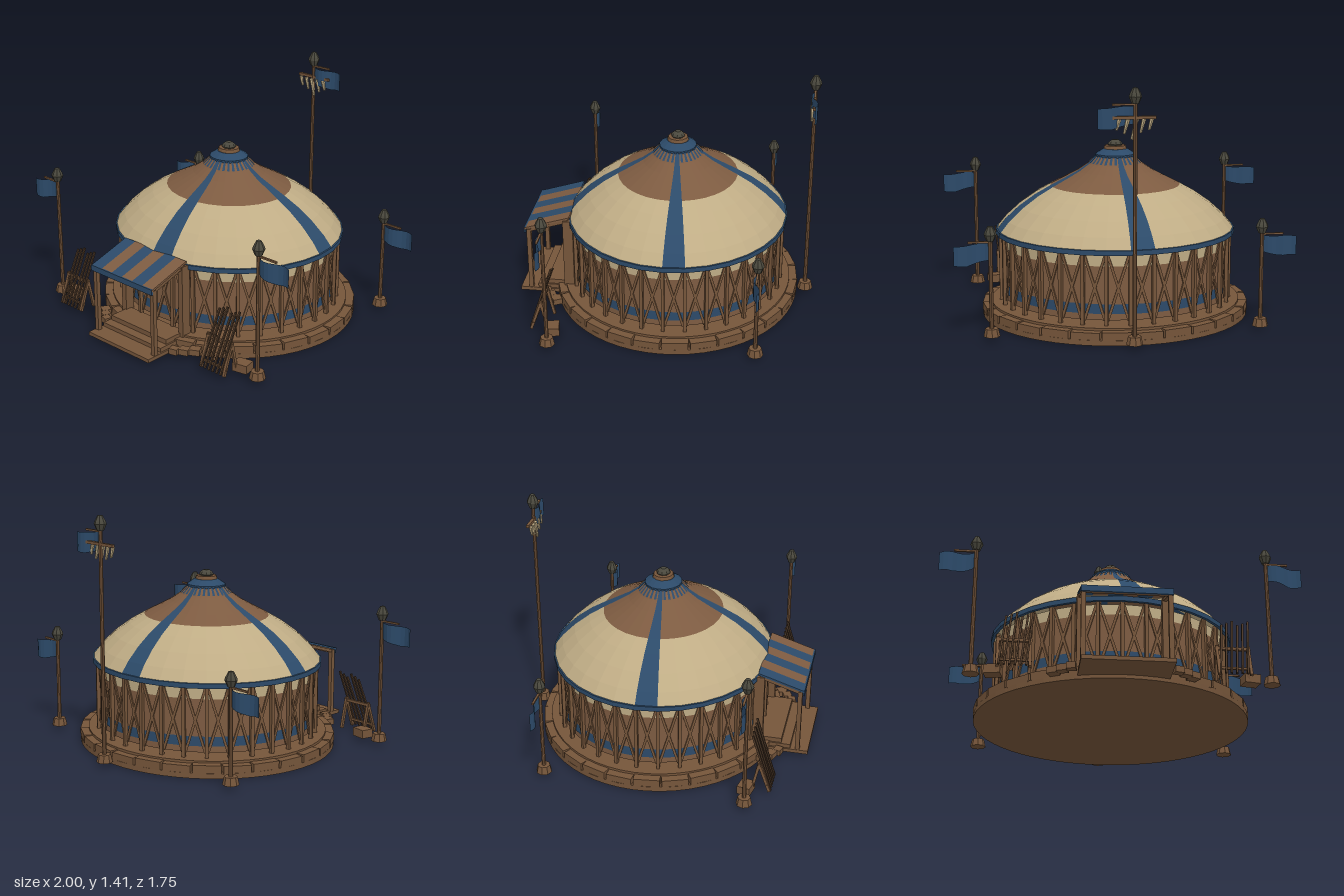
import * as THREE from 'three';

const mat = (name, color, side = THREE.FrontSide) => {
  const m = new THREE.MeshStandardMaterial({ color, side, flatShading: true });
  m.name = name;
  return m;
};

export function createModel() {
  const wood = mat('wood', 0x75553a);
  const darkWood = mat('dark wood', 0x4a3626);
  const hide = mat('brown hide', 0x7d5b41, THREE.DoubleSide);
  const cream = mat('cream felt', 0xbfac85, THREE.DoubleSide);
  const blue = mat('blue cloth', 0x2c4a69, THREE.DoubleSide);
  const iron = mat('dark iron', 0x4a483d);

  const model = new THREE.Group();
  const add = (parent, name, geo, material, x = 0, y = 0, z = 0) => {
    const m = new THREE.Mesh(geo, material);
    m.name = name;
    m.position.set(x, y, z);
    parent.add(m);
    return m;
  };
  const group = (parent, name, x = 0, y = 0, z = 0) => {
    const g = new THREE.Group();
    g.name = name;
    g.position.set(x, y, z);
    parent.add(g);
    return g;
  };
  const box = (parent, name, w, h, d, m, x, y, z) => add(parent, name, new THREE.BoxGeometry(w, h, d), m, x, y, z);
  const lathe = (pts, segs = 32, start = 0, len = Math.PI * 2) =>
    new THREE.LatheGeometry(pts.map(p => new THREE.Vector2(p[0], p[1])), segs, start, len);
  // Square bar running from a to b
  const bar = (parent, name, a, b, w, d, m) => {
    const p = new THREE.Vector3(...a), q = new THREE.Vector3(...b);
    const mesh = box(parent, name, w, p.distanceTo(q), d, m, 0, 0, 0);
    mesh.position.copy(p).lerp(q, 0.5);
    mesh.quaternion.setFromUnitVectors(new THREE.Vector3(0, 1, 0), q.sub(p).normalize());
    return mesh;
  };

  const N = 32, STEP = Math.PI * 2 / N;

  // Slightly oval tent, standing a little behind the origin
  const tent = group(model, 'tent', 0, 0, -0.05);
  tent.scale.z = 0.93;

  // Platform: base, floor and a rim of blocks
  add(tent, 'base', new THREE.CylinderGeometry(0.785, 0.785, 0.03, 56), wood, 0, 0.015, 0);
  add(tent, 'floor', new THREE.CylinderGeometry(0.735, 0.735, 0.06, 56), wood, 0, 0.055, 0);
  for (let i = 0; i < 28; i++) {
    const holder = group(tent, 'rimBlock');
    holder.rotation.y = (i + 0.5) * Math.PI * 2 / 28;
    box(holder, 'block', 0.162, 0.045, 0.06, wood, 0, 0.048 + (i % 2) * 0.004, 0.752);
  }

  // Wall with a cream band above and a blue band below
  add(tent, 'wall', lathe([[0.66, 0.11], [0.66, 0.475]]), hide);
  add(tent, 'wallTopBand', lathe([[0.664, 0.415], [0.664, 0.477]]), cream);
  add(tent, 'wallLowBand', lathe([[0.664, 0.146], [0.664, 0.202]]), blue);

  // Posts and crossed lattice around the wall
  for (let i = 0; i < N; i++) {
    const post = group(tent, 'wallPost');
    post.rotation.y = i * STEP;
    box(post, 'post', 0.02, 0.41, 0.022, wood, 0, 0.285, 0.675);
    const bay = group(tent, 'latticeBay');
    bay.rotation.y = (i + 0.5) * STEP;
    for (const s of [-1, 1]) {
      bar(bay, 'lattice', [-s * 0.058, 0.11, 0.665], [s * 0.058, 0.478, 0.665], 0.015, 0.008, wood);
    }
  }

  // Roof: cream skirt, brown upper part, and four blue stripes
  const skirt = [[0.7, 0.505], [0.645, 0.572], [0.565, 0.645], [0.47, 0.712], [0.38, 0.762]];
  const upper = [[0.38, 0.762], [0.29, 0.808], [0.22, 0.845], [0.16, 0.886], [0.115, 0.93]];
  for (let q = 0; q < 4; q++) {
    const start = q * Math.PI / 2;
    add(tent, 'roofStripe', lathe([...skirt, ...upper.slice(1)], 1, start, STEP), blue);
    add(tent, 'roofSkirt', lathe(skirt, 7, start + STEP, STEP * 7), cream);
    add(tent, 'roofTop', lathe(upper, 7, start + STEP, STEP * 7), hide);
  }
  add(tent, 'eaveBand', lathe([[0.685, 0.483], [0.703, 0.483], [0.703, 0.511], [0.685, 0.513]]), blue);

  // Crown with a ring of short blue tabs
  for (let i = 0; i < N; i++) {
    add(tent, 'crownTab', lathe([[0.157, 0.893], [0.112, 0.938]], 1, i * STEP + STEP / 4, STEP / 2), blue);
  }
  add(tent, 'crownCollar', lathe([[0.117, 0.925], [0.117, 0.942], [0.07, 0.972], [0, 0.972]], 16), blue);
  add(tent, 'crownRing', new THREE.CylinderGeometry(0.062, 0.07, 0.025, 12), wood, 0, 0.978, 0);
  add(tent, 'crownCap', lathe([[0.035, 0.985], [0.045, 0.998], [0.036, 1.012], [0.018, 1.024], [0, 1.024]], 8), iron);

  // Porch: striped canopy, posts, jambs and steps
  const porch = group(model, 'porch');
  const tilt = Math.atan2(0.085, 0.27);
  for (let i = 0; i < 6; i++) {
    const strip = box(porch, 'canopyStrip', 0.0817, 0.012, 0.283, i % 2 ? hide : blue, -0.204 + i * 0.0817, 0.487, 0.7);
    strip.rotation.x = tilt;
  }
  box(porch, 'canopyFringe', 0.49, 0.034, 0.01, blue, 0, 0.436, 0.833);
  box(porch, 'canopyBeam', 0.47, 0.022, 0.02, wood, 0, 0.432, 0.815);
  for (const s of [-1, 1]) {
    box(porch, 'porchPost', 0.026, 0.41, 0.026, wood, s * 0.23, 0.235, 0.812);
    box(porch, 'doorJamb', 0.034, 0.44, 0.06, wood, s * 0.232, 0.29, 0.575);
    bar(porch, 'canopyRail', [s * 0.23, 0.432, 0.815], [s * 0.23, 0.508, 0.575], 0.02, 0.018, wood);
  }
  box(porch, 'lowStep', 0.49, 0.022, 0.29, wood, 0, 0.031, 0.73);
  box(porch, 'middleStep', 0.47, 0.025, 0.2, wood, 0, 0.054, 0.67);
  box(porch, 'highStep', 0.45, 0.03, 0.15, wood, 0, 0.08, 0.64);

  // Loose blocks beside the steps
  for (const s of [-1, 1]) {
    [[0.37, 0.63, 0.06], [0.325, 0.67, 0.055], [0.28, 0.705, 0.05]].forEach(([x, z, w], i) => {
      const b = box(model, 'looseBlock', w, 0.035, w * 0.9, wood, s * x, 0.045, z);
      b.rotation.y = s * (0.5 - i * 0.12);
    });
  }

  // Waving flag hanging beside a pole, reaching along +x
  const flagGeo = () => {
    const g = new THREE.PlaneGeometry(0.195, 1, 8, 1);
    const p = g.attributes.position;
    for (let i = 0; i < p.count; i++) {
      const t = p.getX(i) / 0.195 + 0.5;
      const y = p.getY(i) > 0 ? -0.012 * t : -0.095 - 0.035 * Math.min(1, t * 1.6) + 0.01 * t;
      p.setXYZ(i, t * 0.195 + 0.005, y, 0.02 * Math.sin(t * 6));
    }
    g.computeVertexNormals();
    return g;
  };
  const flagPole = (name, x, z, top, dir) => {
    const g = group(model, name, x, 0, z);
    add(g, 'poleFoot', new THREE.CylinderGeometry(0.036, 0.046, 0.045, 8), wood, 0, 0.047, 0);
    add(g, 'pole', new THREE.CylinderGeometry(0.011, 0.012, top - 0.1, 8), wood, 0, top / 2 - 0.01, 0);
    add(g, 'finial', lathe([[0, 0], [0.02, 0], [0.035, 0.036], [0.03, 0.052], [0.014, 0.082], [0, 0.085]], 8),
      iron, 0, top - 0.085, 0);
    box(g, 'flagArm', 0.125, 0.01, 0.012, wood, dir * 0.06, top - 0.09, 0);
    const flag = add(g, 'flag', flagGeo(), blue, 0, top - 0.097, 0);
    if (dir < 0) flag.rotation.y = Math.PI;
    return g;
  };
  for (const s of [-1, 1]) {
    flagPole('frontFlagPole', s * 0.8, 0.595, 0.835, s);
    flagPole('backFlagPole', s * 0.755, -0.58, 0.645, s);
  }

  // Tall rear pole with a crossbar of hanging tails
  const tall = flagPole('tallPole', 0, -0.83, 1.412, 1);
  box(tall, 'crossbar', 0.23, 0.016, 0.018, wood, 0.005, 1.253, 0);
  for (let i = 0; i < 5; i++) {
    const len = [0.06, 0.075, 0.11, 0.08, 0.06][i];
    const tail = add(tall, 'tail', new THREE.CylinderGeometry(0.012, 0.007, len, 6), cream,
      -0.082 + i * 0.043, 1.245 - len / 2, 0.012);
    tail.rotation.z = 0.25;
  }

  // Weapon racks: leaning shafts on a trestle, with a crate behind
  for (const s of [-1, 1]) {
    const rack = group(model, 'rack', s * 0.58, 0, 0);
    bar(rack, 'rackRail', [-0.095, 0.2, 0.655], [0.095, 0.2, 0.655], 0.016, 0.016, wood);
    bar(rack, 'rackFootRail', [-0.095, 0.07, 0.7], [0.095, 0.07, 0.7], 0.012, 0.012, wood);
    for (const e of [-1, 1]) {
      bar(rack, 'rackFrontLeg', [e * 0.085, 0.03, 0.715], [e * 0.085, 0.215, 0.65], 0.016, 0.016, wood);
      bar(rack, 'rackBackLeg', [e * 0.085, 0.03, 0.615], [e * 0.085, 0.215, 0.655], 0.016, 0.016, wood);
    }
    for (let i = 0; i < 6; i++) {
      const x = -0.08 + i * 0.029;
      bar(rack, 'shaft', [x, 0.035, 0.722], [x + 0.035, 0.36 + (i % 3) * 0.012, 0.605], 0.011, 0.011, darkWood);
    }
    const crate = box(rack, 'crate', 0.09, 0.05, 0.075, wood, s * 0.105, 0.052, 0.585);
    crate.rotation.y = s * 0.2;
  }

  return model;
}
